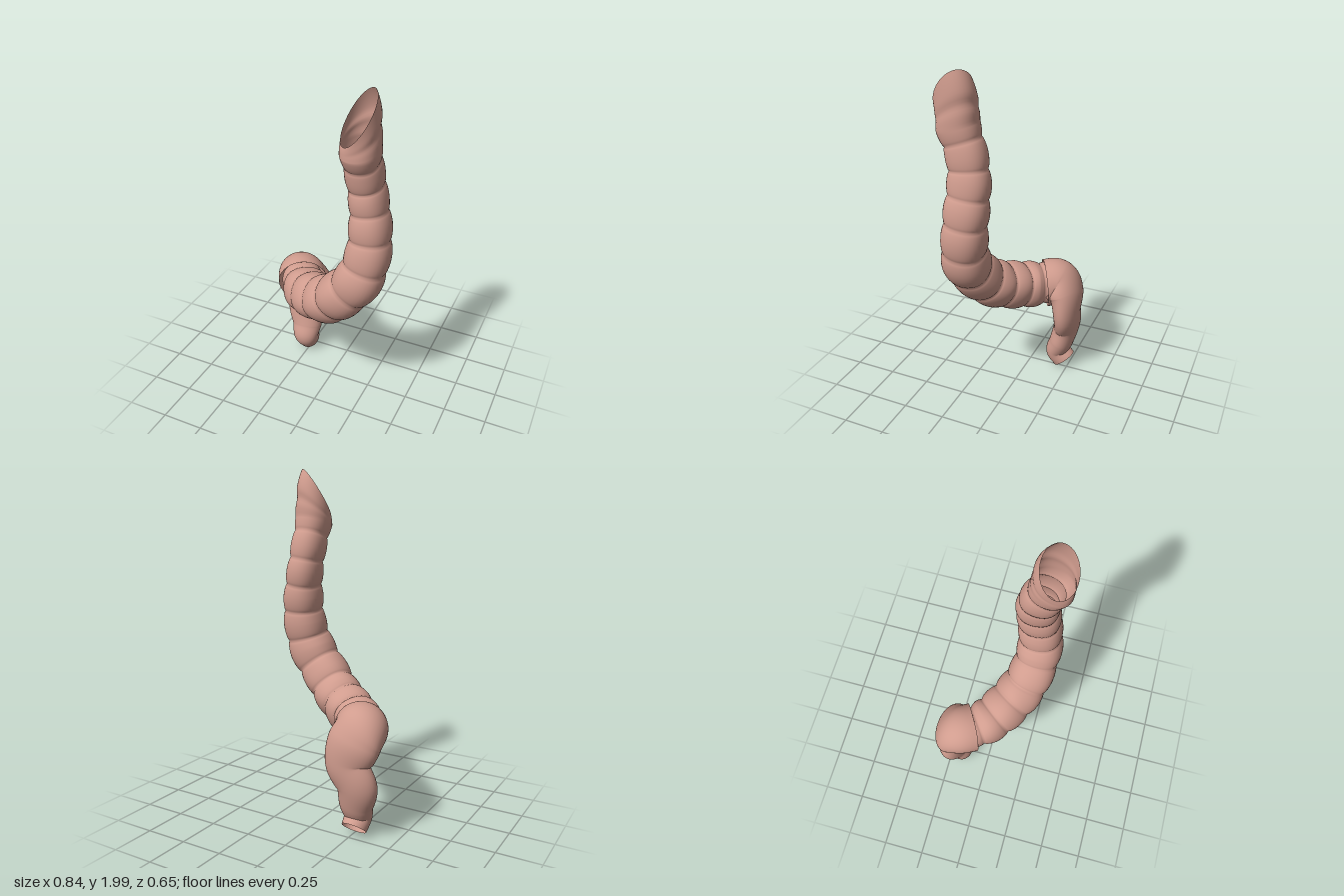
import * as THREE from 'three';

const SIDES = 40;

// Skin a list of rings (each an array of SIDES points) into a smooth open tube
function skin(name, rings, material) {
  const pos = [], idx = [];
  rings.forEach((ring) => ring.forEach((p) => pos.push(p.x, p.y, p.z)));
  for (let i = 0; i < rings.length - 1; i++) {
    for (let j = 0; j < SIDES; j++) {
      const k = (j + 1) % SIDES;
      const a = i * SIDES + j, b = i * SIDES + k, c = a + SIDES, d = b + SIDES;
      idx.push(a, b, c, b, d, c);
    }
  }
  const geo = new THREE.BufferGeometry();
  geo.setAttribute('position', new THREE.Float32BufferAttribute(pos, 3));
  geo.setIndex(idx);
  geo.computeVertexNormals();
  const mesh = new THREE.Mesh(geo, material);
  mesh.name = name;
  return mesh;
}

// Rings along stations [x, y, z, sideRadius, depthRadius]; scale(t, angle) shapes them
function sweep(stations, steps, scale) {
  const path = new THREE.CatmullRomCurve3(stations.map((s) => new THREE.Vector3(s[0], s[1], s[2])));
  const size = new THREE.CatmullRomCurve3(
    stations.map((s) => new THREE.Vector3(s[3], s[4], 0)), false, 'catmullrom', 0.5);
  const rings = [];
  for (let i = 0; i <= steps; i++) {
    const t = i / steps;
    const c = path.getPoint(t), r = size.getPoint(t), tan = path.getTangent(t);
    const side = new THREE.Vector3(1, 0, 0).addScaledVector(tan, -tan.x).normalize();
    const depth = new THREE.Vector3().crossVectors(tan, side);
    const ring = [];
    for (let j = 0; j < SIDES; j++) {
      const a = (j / SIDES) * Math.PI * 2, k = scale(t, a);
      ring.push(c.clone()
        .addScaledVector(side, Math.cos(a) * r.x * k)
        .addScaledVector(depth, Math.sin(a) * r.y * k));
    }
    rings.push(ring);
  }
  return rings;
}

// Slanted open end: rises from the first ring to an oblique oval rim
function slantedEnd(base) {
  const rings = [], n = 16;
  for (let i = n; i >= 1; i--) {
    const w = i / n;
    rings.push(base.map((p, j) => {
      const a = (j / SIDES) * Math.PI * 2;
      const s = (Math.sin(a) - Math.cos(a)) * Math.SQRT1_2;
      const q = (Math.sin(a) + Math.cos(a)) * Math.SQRT1_2;
      const rimX = 0.245 + (-s * 0.083 + q * 0.105) * Math.SQRT1_2;
      const rimZ = 0.23 + (s * 0.083 + q * 0.105) * Math.SQRT1_2;
      const rimY = 1.866 - s * 0.134;
      const pinch = 1 - 0.04 * (1 - s) * Math.exp(-(((w - 0.4) / 0.12) ** 2));
      const f = w ** 3;
      const x = THREE.MathUtils.lerp(p.x, rimX, f), z = THREE.MathUtils.lerp(p.z, rimZ, f);
      return new THREE.Vector3(
        0.25 + (x - 0.25) * pinch,
        THREE.MathUtils.lerp(p.y, rimY, w),
        0.21 + (z - 0.21) * pinch);
    }));
  }
  return rings;
}

export function createModel() {
  const group = new THREE.Group();
  group.name = 'intestine';
  const flesh = new THREE.MeshStandardMaterial({ color: 0xd09c8e, side: THREE.DoubleSide });
  flesh.name = 'flesh pink';

  // Segmented tube: one station at the middle of every pouch
  const pouches = [
    [0.25, 1.70, 0.208, 0.104, 0.12],
    [0.257, 1.55, 0.16, 0.1, 0.116],
    [0.273, 1.41, 0.143, 0.102, 0.122],
    [0.292, 1.26, 0.153, 0.114, 0.127],
    [0.293, 1.10, 0.17, 0.126, 0.13],
    [0.25, 0.935, 0.187, 0.138, 0.138],
    [0.14, 0.79, 0.172, 0.14, 0.14],
    [0.03, 0.69, 0.125, 0.143, 0.143],
    [-0.085, 0.635, 0.055, 0.143, 0.143],
    [-0.185, 0.605, -0.025, 0.14, 0.14],
    [-0.26, 0.6, -0.12, 0.125, 0.125],
  ];
  const n = pouches.length - 1;
  const tube = sweep(pouches, n * 14, (t, a) => {
    const bump = Math.abs(Math.cos(Math.PI * t * n)) ** 0.6;
    return (0.88 + 0.12 * bump) * (1 - 0.02 * Math.cos(4 * a));
  });
  group.add(skin('segmentedTube', [...slantedEnd(tube[0]), ...tube], flesh));

  // Smooth lower tube: overlaps the last pouch, bends down and ends in a slanted opening
  const lower = sweep([
    [-0.24, 0.6, -0.095, 0.148, 0.145],
    [-0.275, 0.605, -0.16, 0.147, 0.138],
    [-0.265, 0.55, -0.22, 0.158, 0.1],
    [-0.24, 0.43, -0.243, 0.136, 0.076],
    [-0.288, 0.31, -0.23, 0.122, 0.078],
    [-0.272, 0.19, -0.203, 0.1, 0.074],
    [-0.27, 0.11, -0.178, 0.082, 0.07],
    [-0.27, 0.055, -0.225, 0.07, 0.076],
  ], 84, () => 1);
  group.add(skin('lowerTube', lower, flesh));

  return group;
}
